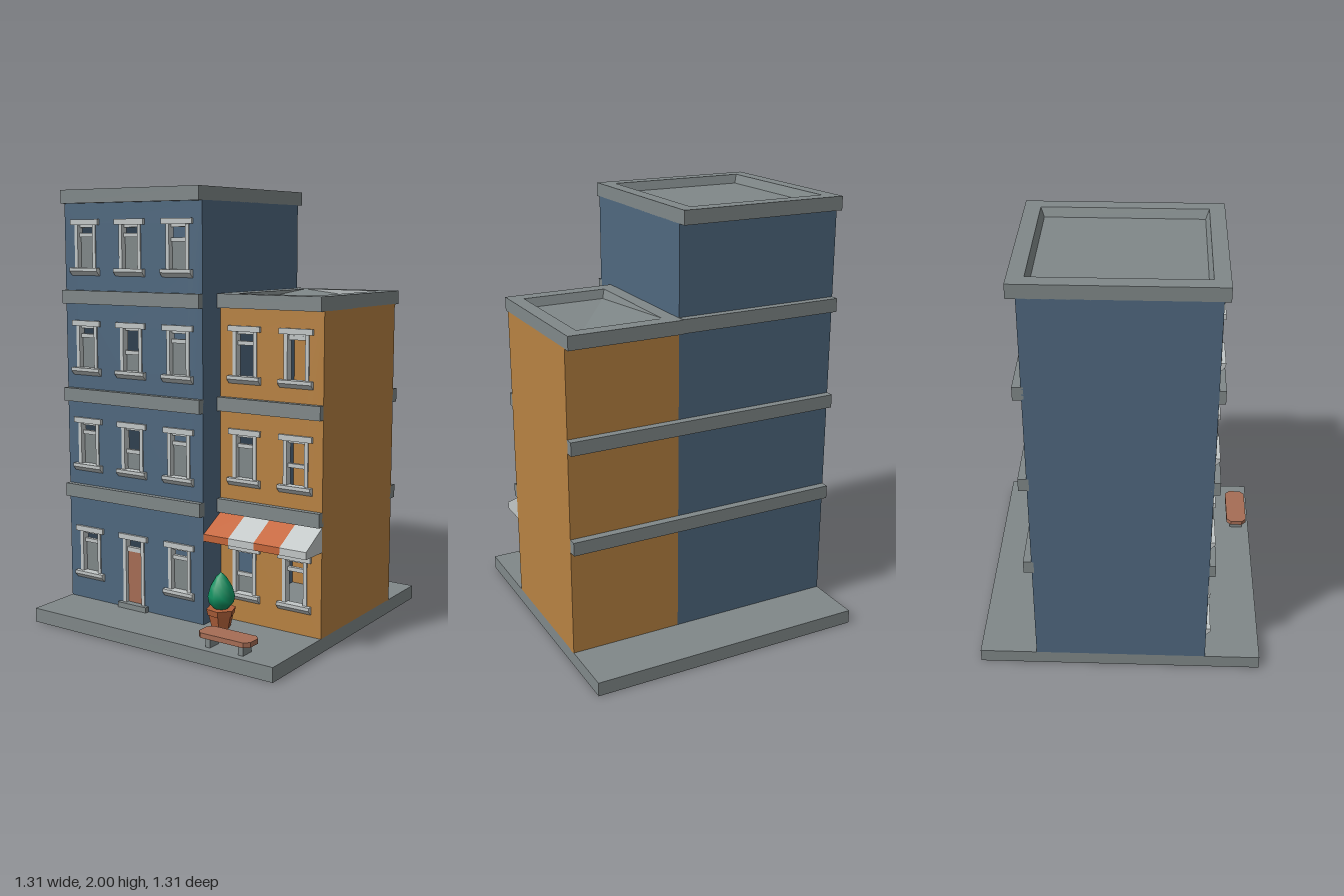
import * as THREE from 'three';

const mat = (name, color, opts = {}) => {
  const m = new THREE.MeshStandardMaterial({ color, ...opts });
  m.name = name;
  return m;
};

export function createModel() {
  const stone = mat('stoneGrey', 0x808889);
  const blue = mat('blueWall', 0x4f687f);
  const ochre = mat('ochreWall', 0xb88242);
  const trim = mat('paleTrim', 0xc2c7c7);
  const canvas = mat('awningOrange', 0xc4653a);
  const wood = mat('reddishWood', 0xa66d55);
  const clay = mat('clay', 0xb0603a, { flatShading: true });
  const leaf = mat('leafGreen', 0x0f8f5f);

  const root = new THREE.Group();
  root.name = 'townhouses';
  const group = (name, parent = root) => {
    const g = new THREE.Group();
    g.name = name;
    parent.add(g);
    return g;
  };
  const add = (parent, name, geo, m) => {
    const mesh = new THREE.Mesh(geo, m);
    mesh.name = name;
    parent.add(mesh);
    return mesh;
  };
  // Box given by its lower and upper limits on each axis
  const box = (parent, name, m, x0, x1, y0, y1, z0, z1) => {
    const mesh = add(parent, name, new THREE.BoxGeometry(x1 - x0, y1 - y0, z1 - z0), m);
    mesh.position.set((x0 + x1) / 2, (y0 + y1) / 2, (z0 + z1) / 2);
    return mesh;
  };
  // Prism along x from a (z, y) outline
  const prismX = (parent, name, m, outline, x0, x1) => {
    const shape = new THREE.Shape(outline.map(([z, y]) => new THREE.Vector2(-z, y)));
    const geo = new THREE.ExtrudeGeometry(shape, { depth: x1 - x0, bevelEnabled: false });
    geo.rotateY(Math.PI / 2);
    geo.translate(x0, 0, 0);
    return add(parent, name, geo, m);
  };

  // Roof cap with a sunken floor, made from four-cornered rings
  const roofCap = (parent, x0, x1, z0, z1, y0, y1, inner, tilted) => {
    const ring = (a, b, c, d, y) => [[a, y, d], [b, y, d], [b, y, c], [a, y, c]];
    const [ix0, ix1, iz0, iz1] = inner;
    const s = 0.015;
    const rings = [ring(x0, x1, z0, z1, y0), ring(x0, x1, z0, z1, y1), ring(ix0, ix1, iz0, iz1, y1),
      ring(ix0 + s, ix1 - s, iz0 + s, iz1 - s, y1 - 0.04)];
    if (tilted) rings[3][3] = rings[2][3];
    const pos = [];
    const quad = (a, b, c, d) => pos.push(...a, ...b, ...c, ...a, ...c, ...d);
    for (let r = 0; r < 3; r++) {
      for (let i = 0; i < 4; i++) {
        const j = (i + 1) % 4;
        quad(rings[r][i], rings[r][j], rings[r + 1][j], rings[r + 1][i]);
      }
    }
    quad(...rings[3]);
    quad(...[...rings[0]].reverse());
    const geo = new THREE.BufferGeometry();
    geo.setAttribute('position', new THREE.Float32BufferAttribute(pos, 3));
    geo.computeVertexNormals();
    add(parent, 'roofCap', geo, stone);
  };

  // Front wall with openings [centre x, y0, y1]
  const frontWall = (parent, m, x0, x1, y0, y1, z, openings) => {
    const shape = new THREE.Shape([[x0, y0], [x1, y0], [x1, y1], [x0, y1]].map(p => new THREE.Vector2(...p)));
    for (const [x, a, b] of openings) {
      const w = 0.055;
      shape.holes.push(new THREE.Path([[x - w, a], [x - w, b], [x + w, b], [x + w, a]].map(p => new THREE.Vector2(...p))));
    }
    const geo = new THREE.ExtrudeGeometry(shape, { depth: 0.03, bevelEnabled: false });
    geo.translate(0, 0, z - 0.03);
    add(parent, 'frontWall', geo, m);
  };

  // Lintel and jambs shared by windows and the door
  const surround = (g, x, y0, top, z) => {
    box(g, 'lintel', trim, x - 0.083, x + 0.083, top - 0.025, top, z - 0.02, z + 0.012);
    for (const s of [-1, 1]) {
      const c = x + s * 0.053;
      box(g, 'jamb', trim, c - 0.009, c + 0.009, y0, top - 0.025, z - 0.03, z + 0.005);
    }
  };
  // Window: bar = height of the sash rail above the sill base, blind = material below it, if any
  const windowUnit = (parent, x, y, z, bar, blind) => {
    const g = group('window', parent);
    surround(g, x, y + 0.03, y + 0.255, z);
    prismX(g, 'sill', trim, [[z - 0.02, y + 0.035], [z - 0.02, y], [z + 0.004, y], [z + 0.022, y + 0.02], [z + 0.022, y + 0.035]],
      x - 0.083, x + 0.083);
    box(g, 'headRail', trim, x - 0.046, x + 0.046, y + 0.218, y + 0.23, z - 0.028, z - 0.012);
    box(g, 'sashRail', trim, x - 0.046, x + 0.046, y + bar, y + bar + 0.018, z - 0.028, z - 0.01);
    if (blind) box(g, 'blind', blind, x - 0.046, x + 0.046, y + 0.03, y + bar, z - 0.028, z - 0.02);
  };

  // Walls, openings, bands and cap of one house
  const house = (name, m, x0, x1, zf, top, windows, extraOpenings, innerWalls) => {
    const g = group(name);
    const zb = -0.39, t = 0.02;
    frontWall(g, m, x0, x1, 0.06, top, zf, [...windows.map(([x, y]) => [x, y + 0.03, y + 0.235]), ...extraOpenings]);
    box(g, 'backWall', m, x0, x1, 0.06, top, zb, zb + t);
    for (const side of innerWalls) {
      const a = side < 0 ? x0 : x1 - t;
      box(g, 'sideWall', m, a, a + t, 0.06, top, zb + t, zf - 0.03);
    }
    for (const [x, y, bar, blind] of windows) windowUnit(g, x, y, zf, bar, blind);
    for (const y of [0.562, 1.022, 1.48]) {
      if (y > top - 0.1) continue;
      box(g, 'frontBand', stone, x0, x1, y, y + 0.062, zf - 0.01, zf + 0.028);
      box(g, 'backBand', stone, x0, x1, y, y + 0.062, -0.427, zb + 0.01);
    }
    return g;
  };

  // Pavement slab
  box(root, 'pavement', stone, -0.655, 0.655, 0, 0.065, -0.655, 0.655);

  // Tall house
  const cols = [-0.53, -0.267, -0.002];
  const rails = [[1.61, [0.175, 0.175, 0.155]], [1.147, [0.175, 0.11, 0.175]], [0.69, [0.175, 0.11, 0.175]], [0.165, [0.175, 0, 0.175]]];
  const tallWindows = [];
  for (const [y, bars] of rails) {
    bars.forEach((bar, i) => { if (bar) tallWindows.push([cols[i], y, bar, stone]); });
  }
  const tall = house('tallHouse', blue, -0.655, 0.13, 0.4, 1.94, tallWindows, [[cols[1], 0.085, 0.4]], [-1, 1]);
  roofCap(tall, -0.655, 0.13, -0.43, 0.427, 1.938, 2, [-0.59, 0.065, -0.36, 0.36], false);

  // Front door with transom and step
  const door = group('frontDoor', tall);
  surround(door, cols[1], 0.08, 0.42, 0.4);
  box(door, 'doorLeaf', wood, cols[1] - 0.046, cols[1] + 0.046, 0.085, 0.335, 0.375, 0.388);
  box(door, 'transomBar', trim, cols[1] - 0.046, cols[1] + 0.046, 0.335, 0.355, 0.372, 0.392);
  box(door, 'doorStep', stone, cols[1] - 0.083, cols[1] + 0.083, 0.065, 0.09, 0.37, 0.422);

  // Low house
  const shopWindows = [
    [0.26, 1.147, 0.17, null], [0.522, 1.147, 0.205, null],
    [0.26, 0.69, 0.17, stone], [0.522, 0.69, 0.11, null],
    [0.26, 0.165, 0.11, stone], [0.522, 0.165, 0.175, null],
  ];
  const low = house('lowHouse', ochre, 0.13, 0.655, 0.265, 1.48, shopWindows, [], [1]);
  roofCap(low, 0.13, 0.655, -0.427, 0.293, 1.478, 1.54, [0.195, 0.59, -0.36, 0.225], true);
  // Dark pane in the shop window
  box(low, 'shopPane', blue, 0.214, 0.306, 0.28, 0.385, 0.238, 0.245);

  // Striped awning
  const awning = group('awning');
  const awningOutline = [[0.262, 0.56], [0.262, 0.45], [0.398, 0.45], [0.398, 0.482]];
  for (let i = 0; i < 4; i++) {
    const x = 0.13 + i * 0.13125;
    prismX(awning, 'awningStripe', i % 2 ? trim : canvas, awningOutline, x, x + 0.13125);
  }

  // Potted shrub
  const plant = group('pottedShrub');
  plant.position.set(0.206, 0.065, 0.372);
  const pot = add(plant, 'pot', new THREE.CylinderGeometry(0.058, 0.044, 0.06, 6), clay);
  pot.position.y = 0.03;
  const rim = add(plant, 'potRim', new THREE.CylinderGeometry(0.068, 0.062, 0.028, 6), clay);
  rim.position.y = 0.072;
  pot.rotation.y = rim.rotation.y = 0.35;
  const crown = [[0, 0.08], [0.035, 0.088], [0.057, 0.115], [0.062, 0.145], [0.05, 0.187], [0.025, 0.228], [0, 0.252]];
  add(plant, 'shrub', new THREE.LatheGeometry(crown.map(p => new THREE.Vector2(...p)), 9), leaf);

  // Bench with clipped corners
  const bench = group('bench');
  const hw = 0.131, hd = 0.051, c = 0.022;
  const plank = [[-hw + c, -hd], [hw - c, -hd], [hw, -hd + c], [hw, hd - c], [hw - c, hd], [-hw + c, hd], [-hw, hd - c], [-hw, -hd + c]];
  const seatGeo = new THREE.ExtrudeGeometry(new THREE.Shape(plank.map(p => new THREE.Vector2(...p))), { depth: 0.022, bevelEnabled: false });
  seatGeo.rotateX(-Math.PI / 2);
  add(bench, 'seat', seatGeo, wood).position.set(0.392, 0.109, 0.588);
  for (const x of [0.308, 0.476]) box(bench, 'benchLeg', stone, x - 0.012, x + 0.012, 0.065, 0.11, 0.557, 0.62);

  return root;
}
